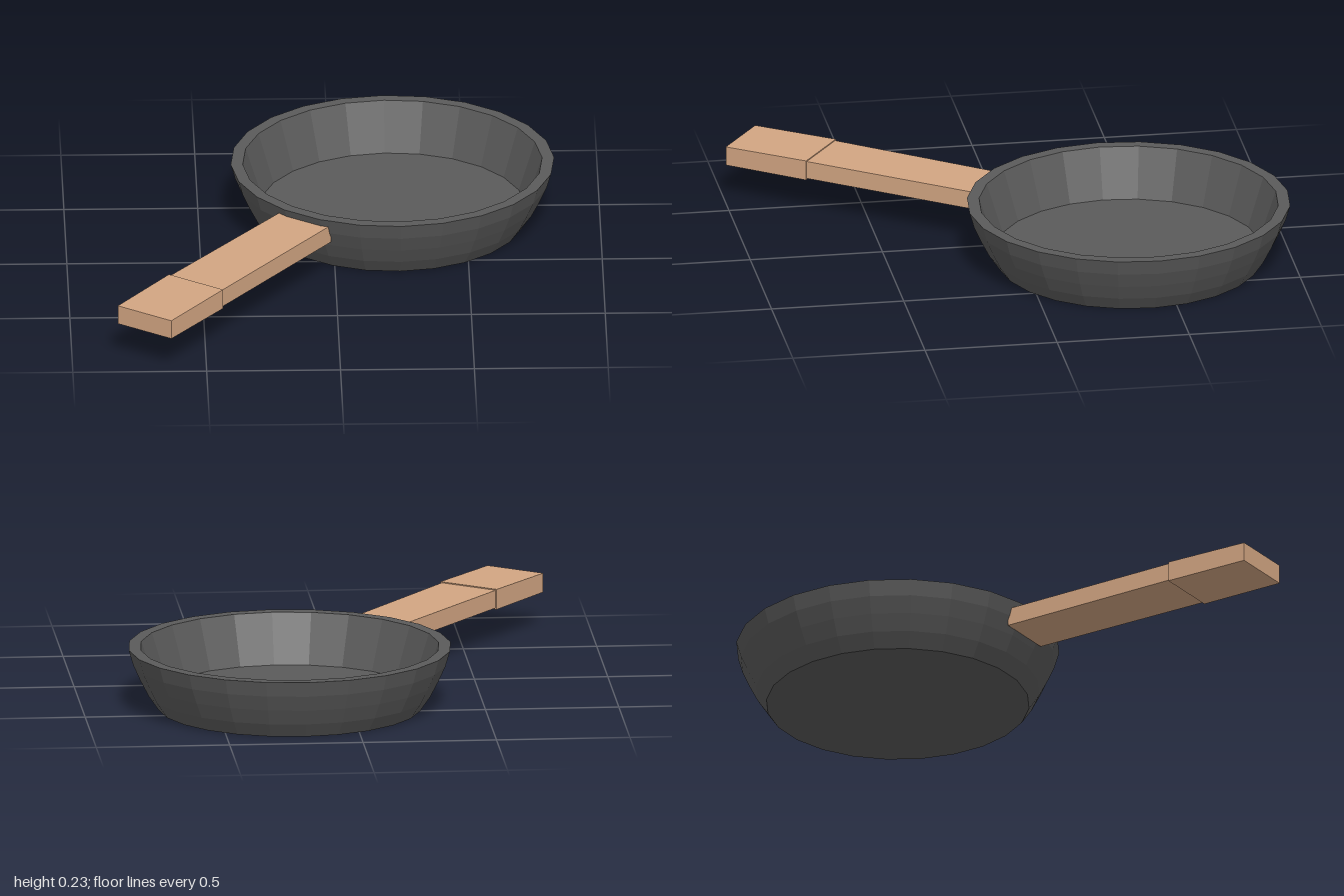
import * as THREE from 'three';

const iron = new THREE.MeshStandardMaterial({ color: 0x5a5a5a, flatShading: true });
const wood = new THREE.MeshStandardMaterial({ color: 0xd2a582, flatShading: true });

// Bar along z whose width and bottom/top heights change from near to far end
function taperedBar(name, near, far) {
  const geo = new THREE.BoxGeometry(1, 1, 1);
  const pos = geo.attributes.position;
  for (let i = 0; i < pos.count; i++) {
    const end = pos.getZ(i) < 0 ? near : far;
    pos.setXYZ(i, pos.getX(i) * end.width, pos.getY(i) < 0 ? end.bottom : end.top, end.z);
  }
  geo.computeVertexNormals();
  const mesh = new THREE.Mesh(geo, wood);
  mesh.name = name;
  return mesh;
}

export function createModel() {
  const model = new THREE.Group();
  model.name = 'fryingPan';
  model.position.set(0, 0, 0);

  // Everything is laid out around the centre of the bowl
  const pan = new THREE.Group();
  pan.name = 'pan';
  pan.position.set(0.225, 0, -0.395);
  model.add(pan);

  // Bowl: base, curved outer wall, flat rim, straight inner wall, floor
  const profile = [
    [0, 0], [0.492, 0], [0.53, 0.055], [0.561, 0.115], [0.588, 0.175], [0.605, 0.233],
    [0.56, 0.233], [0.497, 0.045], [0, 0.045],
  ].map(([r, y]) => new THREE.Vector2(r, y));
  const bowl = new THREE.Mesh(new THREE.LatheGeometry(profile, 24), iron);
  bowl.name = 'bowl';
  bowl.rotation.y = THREE.MathUtils.degToRad(2);
  pan.add(bowl);

  // Handle: long shaft set into the wall, slightly larger grip at the end
  const handle = new THREE.Group();
  handle.name = 'handle';
  handle.rotation.y = THREE.MathUtils.degToRad(-36);
  handle.add(
    taperedBar('handleShaft',
      { z: 0.565, width: 0.224, bottom: 0.136, top: 0.204 },
      { z: 1.295, width: 0.236, bottom: 0.136, top: 0.204 }),
    taperedBar('handleGrip',
      { z: 1.288, width: 0.246, bottom: 0.131, top: 0.208 },
      { z: 1.625, width: 0.243, bottom: 0.13, top: 0.203 }),
  );
  pan.add(handle);

  return model;
}
